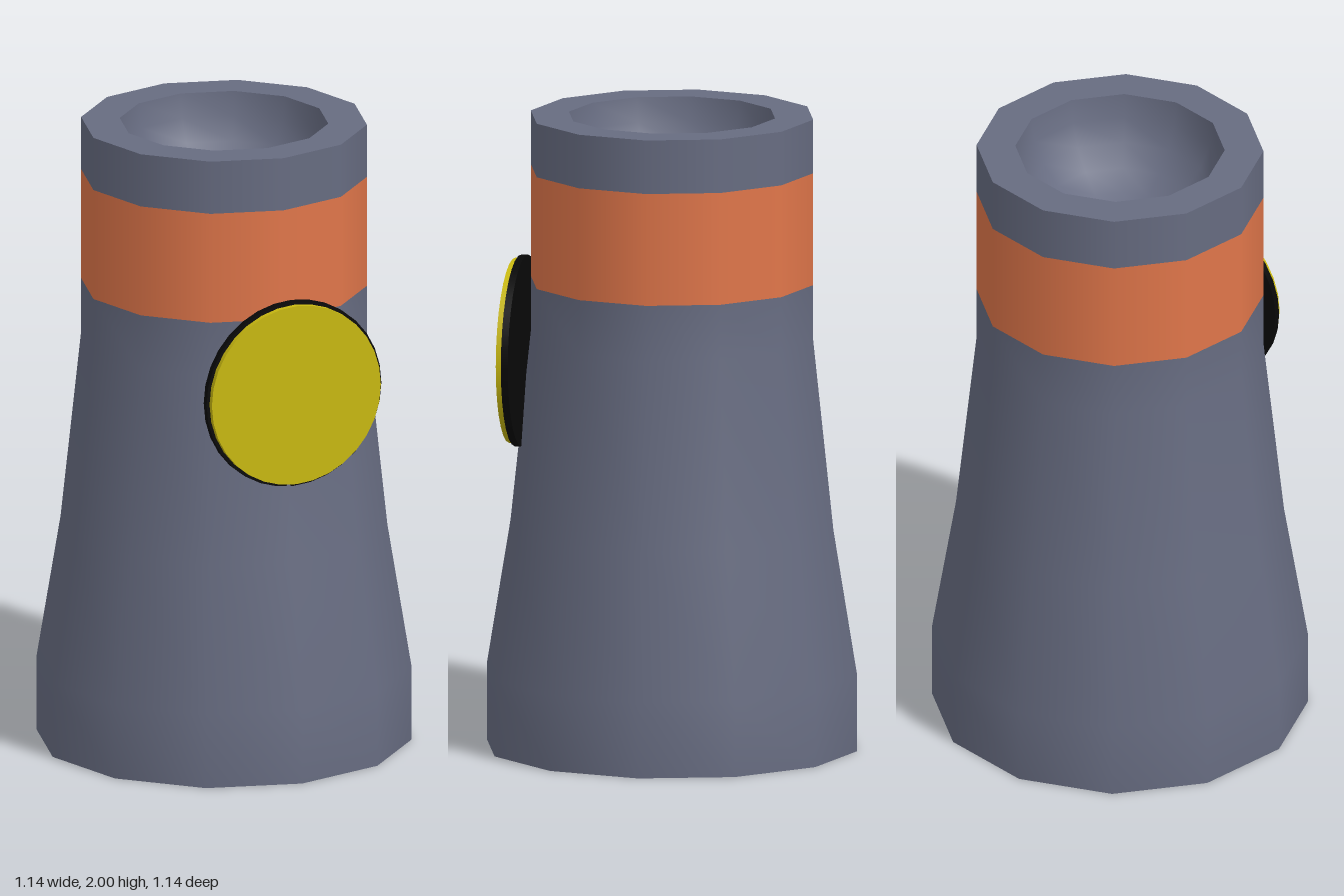
import * as THREE from 'three';

const SIDES = 12;
const TO_CORNER = 1 / Math.cos(Math.PI / SIDES); // flat-to-flat half width -> corner radius

export function createModel() {
  const model = new THREE.Group();
  model.name = 'tower';

  const material = (name, color) => {
    const m = new THREE.MeshStandardMaterial({ color });
    m.name = name;
    return m;
  };
  const grey = material('slate grey', 0x676c81);
  const orange = material('orange', 0xe0764a);
  const yellow = material('yellow', 0xc8b810);
  const black = material('black', 0x080808);

  // Twelve-sided ring surface from [half width, height] pairs
  const ring = (name, profile, mat) => {
    const points = profile.map(([r, y]) => new THREE.Vector2(r * TO_CORNER, y));
    const mesh = new THREE.Mesh(
      new THREE.LatheGeometry(points, SIDES, Math.PI / SIDES), mat);
    mesh.name = name;
    mesh.position.x = -0.004;
    model.add(mesh);
  };

  // Tapered shaft, painted band and collar
  ring('base', [[0, 0], [0.568, 0]], grey);
  ring('shaft', [[0.568, 0], [0.568, 0.24], [0.495, 0.7], [0.433, 1.3], [0.433, 1.475]], grey);
  ring('band', [[0.433, 1.475], [0.433, 1.83]], orange);
  ring('collar', [[0.433, 1.83], [0.433, 2]], grey);
  ring('rim', [[0.433, 2], [0.316, 2]], grey);

  // Hollow mouth, a rounded bowl
  const bowl = [];
  for (let i = 0; i <= 6; i++) {
    const a = (i / 6) * Math.PI / 2;
    bowl.push([i === 6 ? 0 : 0.316 * Math.cos(a), 2 - 0.3 * Math.sin(a)]);
  }
  ring('mouth', bowl, grey);

  // Round sign on the front left corner, facing diagonally outwards
  const sign = new THREE.Group();
  sign.name = 'sign';
  sign.rotation.y = Math.PI / 4;
  const disc = (name, radius, back, front, mat) => {
    const geometry = new THREE.CylinderGeometry(radius, radius, front - back, 32);
    geometry.rotateX(Math.PI / 2);
    const mesh = new THREE.Mesh(geometry, mat);
    mesh.name = name;
    mesh.position.set(0.016, 1.24, (back + front) / 2);
    sign.add(mesh);
  };
  disc('signBacking', 0.3, 0.46, 0.482, black);
  disc('signFace', 0.29, 0.482, 0.5, yellow);
  model.add(sign);

  return model;
}
